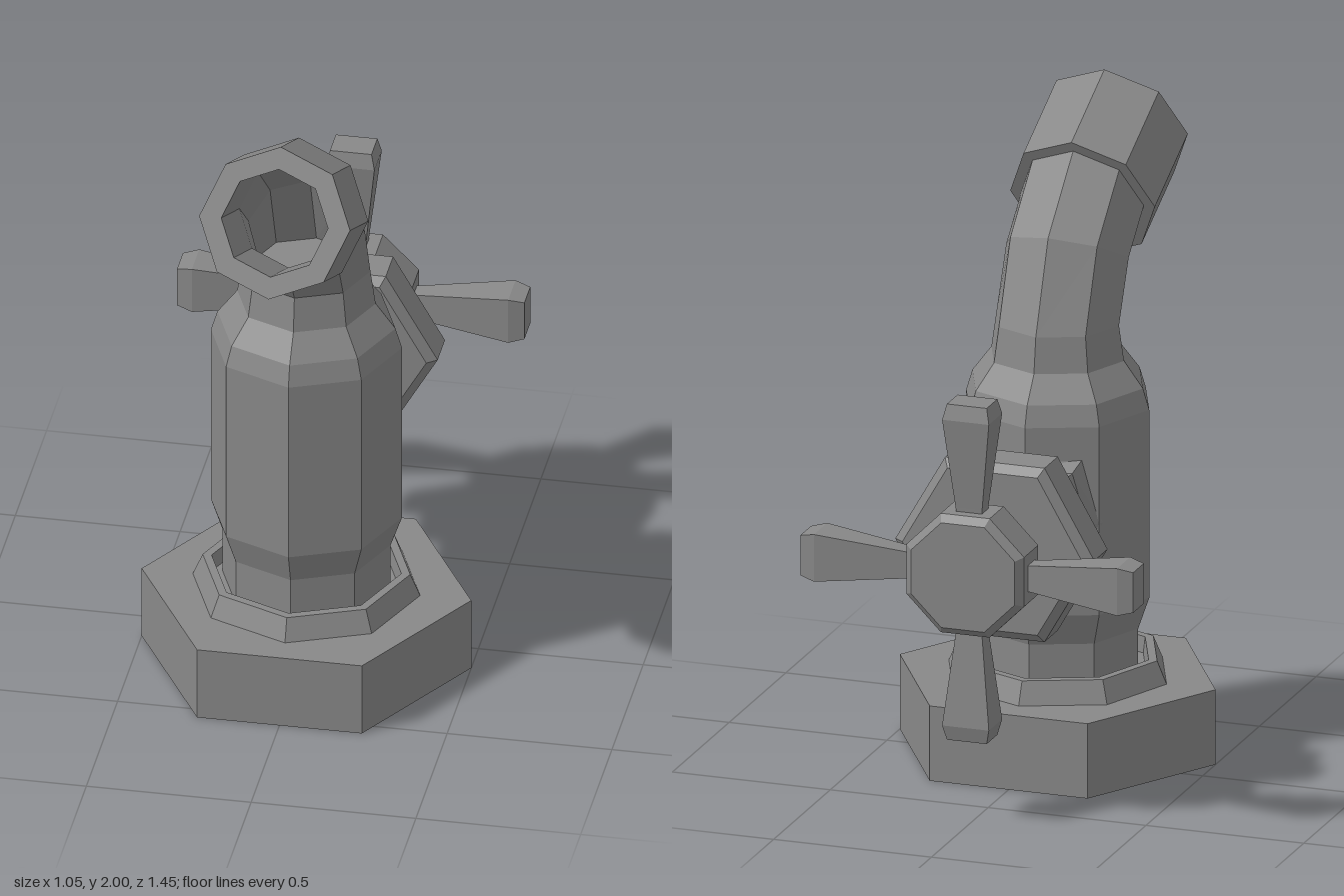
import * as THREE from 'three';

const material = new THREE.MeshStandardMaterial({ color: 0x888888, flatShading: true, side: THREE.DoubleSide });

// Regular ring of n points round (0, y, z); its axis leans in the yz plane, tilt 90 = straight up, 0 = +z
function ring(n, r, y, z, tilt = 90, phase = 0) {
  const e = THREE.MathUtils.degToRad(tilt);
  return Array.from({ length: n }, (_, i) => {
    const a = (i / n) * Math.PI * 2 + phase;
    const u = r * Math.cos(a);
    return [r * Math.sin(a), y - u * Math.cos(e), z + u * Math.sin(e)];
  });
}

// Flat-sided skin through successive rings of equal point count
function loft(rings) {
  const pos = [];
  for (let k = 0; k + 1 < rings.length; k++) {
    const a = rings[k], b = rings[k + 1], n = a.length;
    for (let i = 0; i < n; i++) {
      const j = (i + 1) % n;
      pos.push(...a[i], ...a[j], ...b[j], ...a[i], ...b[j], ...b[i]);
    }
  }
  const g = new THREE.BufferGeometry();
  g.setAttribute('position', new THREE.Float32BufferAttribute(pos, 3));
  g.computeVertexNormals();
  return g;
}

function add(parent, name, geometry) {
  const m = new THREE.Mesh(geometry, material);
  m.name = name;
  parent.add(m);
  return m;
}

export function createModel() {
  const tap = new THREE.Group();
  tap.name = 'tap';
  const Z = 0.114; // column axis

  // Hollow hexagonal base, open below, with a hole in its top
  const base = new THREE.Group();
  base.name = 'base';
  base.position.z = Z;
  tap.add(base);
  const wall = new THREE.CylinderGeometry(0.5, 0.5, 0.235, 6, 1, true);
  wall.rotateY(Math.PI / 6);
  wall.translate(0, 0.1175, 0);
  add(base, 'baseWall', wall);
  const polygon = (n, r) => Array.from({ length: n }, (_, i) => {
    const a = (i / n) * Math.PI * 2;
    return new THREE.Vector2(r * Math.cos(a), r * Math.sin(a));
  });
  const top = new THREE.Shape(polygon(6, 0.5));
  top.holes.push(new THREE.Path(polygon(8, 0.34)));
  const topGeometry = new THREE.ShapeGeometry(top);
  topGeometry.rotateX(-Math.PI / 2);
  topGeometry.translate(0, 0.235, 0);
  add(base, 'baseTop', topGeometry);

  // Sloped collar with a narrow rim and a sunken gap round the column
  add(tap, 'collar', loft([
    [0.345, 0.235], [0.315, 0.305], [0.288, 0.305], [0.282, 0.255], [0.255, 0.255],
  ].map(([r, y]) => ring(8, r, y, Z))));

  // Column running into the bent spout
  add(tap, 'columnAndSpout', loft([
    ...[[0.255, 0.255], [0.255, 0.4], [0.29, 0.5], [0.29, 1.09], [0.27, 1.155], [0.21, 1.235], [0.194, 1.345]]
      .map(([r, y]) => ring(8, r, y, Z)),
    ring(8, 0.194, 1.532, 0.2, 62),
    ring(8, 0.194, 1.653, 0.333, 25.5),
  ]));

  // Nozzle with its hollow bore continuing down the spout
  add(tap, 'nozzle', loft([
    ring(8, 0.19, 1.653, 0.333, 25.5),
    ring(8, 0.229, 1.653, 0.333, 25.5),
    ring(8, 0.229, 1.792, 0.624, 25.5),
    ring(8, 0.162, 1.792, 0.624, 25.5),
    ring(8, 0.162, 1.653, 0.333, 25.5),
    ring(8, 0.16, 1.532, 0.2, 62),
    ring(8, 0.16, 1.345, Z),
    ring(8, 0, 1.345, Z),
  ]));

  // Valve at the back, built along z about its own axis
  const valve = new THREE.Group();
  valve.name = 'valve';
  valve.position.y = 0.792;
  tap.add(valve);

  // Neck ring: half height h, half widths of edge and side, z at middle, edge and side
  const neckRing = (h, edge, side, zMid, zEdge, zSide) => [
    [0, -h, zMid], [edge, -h, zEdge], [side, 0, zSide], [edge, h, zEdge],
    [0, h, zMid], [-edge, h, zEdge], [-side, 0, zSide], [-edge, -h, zEdge],
  ];
  const neck = add(valve, 'valveNeck', loft([
    neckRing(0.167, 0.14, 0.18, -0.31, -0.31, -0.31),
    neckRing(0.167, 0.14, 0.18, -0.194, -0.148, -0.125),
    neckRing(0.205, 0.16, 0.212, -0.17, -0.104, -0.08),
  ]));
  neck.position.y = -0.004;

  const turned = (name, n, profile) => add(valve, name,
    loft(profile.map(([r, z]) => ring(n, r, 0, z, 0, Math.PI / n))));
  turned('valveFlange', 6, [[0, -0.463], [0.285, -0.463], [0.315, -0.441], [0.315, -0.324], [0.285, -0.3], [0, -0.3]]);
  turned('valveStem', 6, [[0.107, -0.57], [0.107, -0.45]]);
  turned('handleHub', 8, [[0, -0.724], [0.178, -0.724], [0.202, -0.702], [0.202, -0.578], [0.178, -0.556], [0, -0.556]]);

  // Four flared handle arms: [distance, half width, half depth]
  const arm = loft([
    [0.15, 0.038, 0.025], [0.2, 0.042, 0.029], [0.48, 0.074, 0.059], [0.527, 0.063, 0.047], [0.527, 0, 0],
  ].map(([y, w, d]) => [[w, y, d], [w, y, -d], [-w, y, -d], [-w, y, d]]));
  for (let i = 0; i < 4; i++) {
    const m = add(valve, 'handleArm', arm);
    m.position.z = -0.641;
    m.rotation.z = (i * Math.PI) / 2;
  }
  return tap;
}
